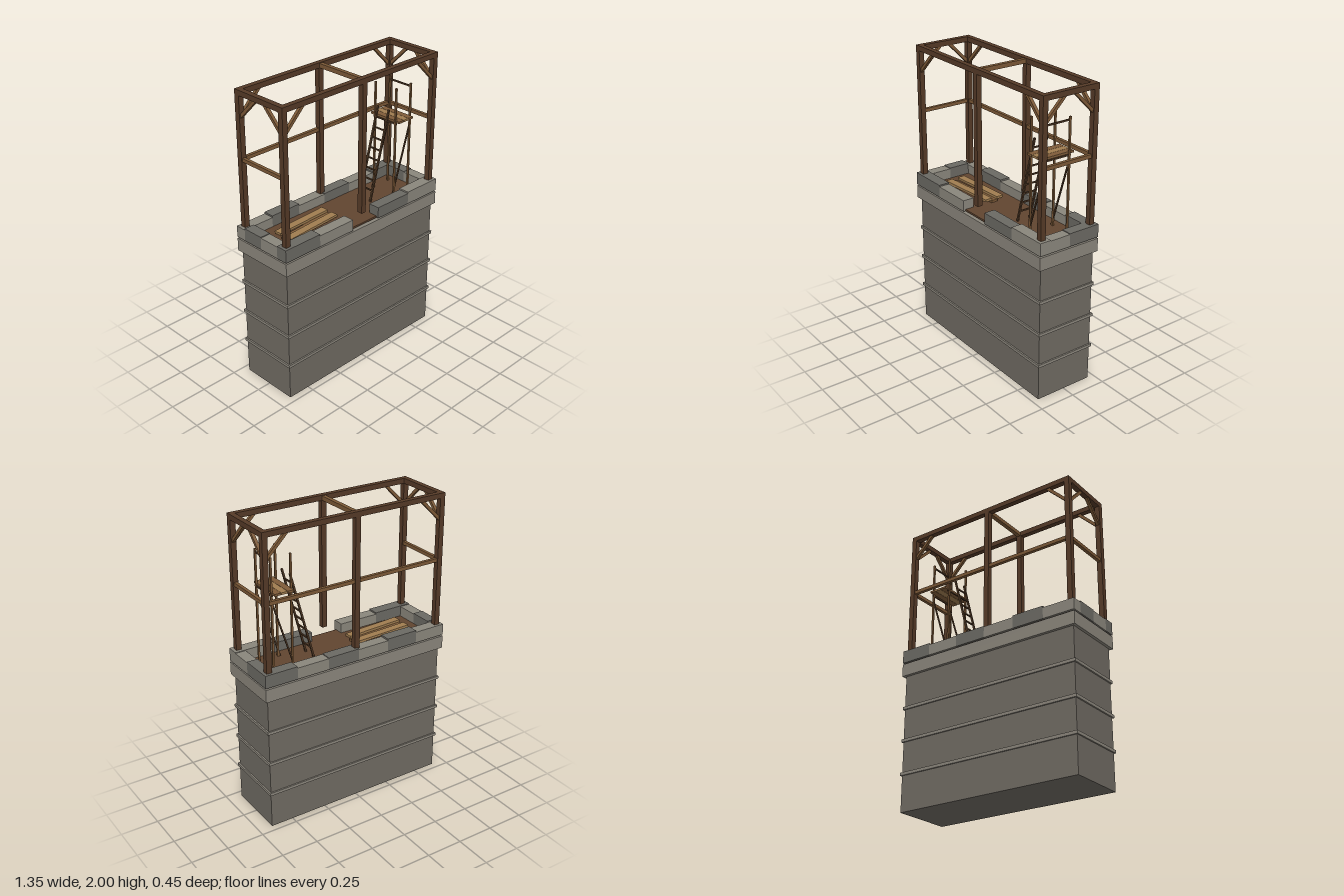
import * as THREE from 'three';

const mat = (color) => new THREE.MeshStandardMaterial({ color, flatShading: true });

export function createModel() {
  const model = new THREE.Group();
  model.name = 'unfinishedTower';
  const wall = mat(0x6f6a62), trim = mat(0x8a857b), stoneDark = mat(0x6b6963), stoneLight = mat(0x8a867c);
  const darkWood = mat(0x553a27), midWood = mat(0x7b5836), floorWood = mat(0x614530);
  const plankLight = mat(0xa07d50), plankBrown = mat(0x7f5c39), poleWood = mat(0x4f3824);

  // Box given by its min and max corners
  function block(parent, name, m, [x0, y0, z0], [x1, y1, z1]) {
    const mesh = new THREE.Mesh(new THREE.BoxGeometry(x1 - x0, y1 - y0, z1 - z0), m);
    mesh.position.set((x0 + x1) / 2, (y0 + y1) / 2, (z0 + z1) / 2);
    mesh.name = name;
    parent.add(mesh);
    return mesh;
  }
  // Square bar running from point a to point b
  function bar(parent, name, m, a, b, w, d = w) {
    const p = new THREE.Vector3(...a), q = new THREE.Vector3(...b);
    const mesh = new THREE.Mesh(new THREE.BoxGeometry(w, d, p.distanceTo(q)), m);
    mesh.position.copy(p).add(q).multiplyScalar(0.5);
    mesh.lookAt(q);
    mesh.name = name;
    parent.add(mesh);
    return mesh;
  }
  function group(name) {
    const g = new THREE.Group();
    g.name = name;
    model.add(g);
    return g;
  }

  // Masonry shaft with string courses and cornice
  const shaft = group('towerShaft');
  block(shaft, 'walls', wall, [-0.655, 0, -0.205], [0.655, 0.93, 0.205]);
  for (const y of [0.25, 0.475, 0.7])
    block(shaft, 'stringCourse', trim, [-0.665, y - 0.01, -0.215], [0.665, y + 0.01, 0.215]);
  block(shaft, 'cornice', trim, [-0.675, 0.927, -0.225], [0.675, 1.014, 0.225]);
  block(model, 'floor', floorWood, [-0.655, 1.024, -0.21], [0.655, 1.036, 0.21]);

  // Parapet stones: [x0, x1, top, material]
  const parapet = group('parapet');
  const back = [1.1, 1.112, 1.1, 1.105, 1.1, 1.11];
  back.forEach((top, i) => {
    const x = -0.675 + i * 0.225;
    block(parapet, 'backStone', i % 2 ? stoneDark : stoneLight, [x, 1.024, -0.225], [x + 0.225, top, -0.15]);
  });
  const front = [
    [-0.675, -0.396, 1.11, stoneDark], [-0.396, -0.114, 1.1, stoneLight],
    [0.114, 0.396, 1.1, stoneDark], [0.396, 0.675, 1.11, stoneLight],
  ];
  for (const [x0, x1, top, m] of front)
    block(parapet, 'frontStone', m, [x0, 1.024, 0.147], [x1, top, 0.225]);
  for (const s of [-1, 1]) {
    const x0 = s < 0 ? -0.675 : 0.602, x1 = x0 + 0.073;
    block(parapet, 'sideStone', stoneLight, [x0, 1.024, 0], [x1, 1.105, 0.147]);
    block(parapet, 'sideStone', stoneDark, [x0, 1.024, -0.15], [x1, 1.11, 0]);
  }

  // Timber frame: posts, top beams, rails and corner braces
  const frame = group('timberFrame');
  const X = 0.636, Z = 0.188, H = 0.018;
  for (const z of [-Z, Z]) {
    for (const x of [-X, 0, X])
      block(frame, 'post', darkWood, [x - H, 1.1, z - H], [x + H, 1.966, z + H]);
    block(frame, 'longTopBeam', darkWood, [-X - H, 1.966, z - H], [X + H, 2, z + H]);
  }
  for (const x of [-X, X]) {
    block(frame, 'shortTopBeam', darkWood, [x - H, 1.966, -Z + H], [x + H, 2, Z - H]);
    block(frame, 'sideRail', midWood, [x - 0.011, 1.543, -Z], [x + 0.011, 1.567, Z]);
  }
  block(frame, 'crossBeam', midWood, [-0.014, 1.968, -Z + H], [0.014, 1.996, Z - H]);
  block(frame, 'backRail', midWood, [-X, 1.543, -Z - 0.011], [X, 1.567, -Z + 0.011]);
  for (const sx of [-1, 1]) for (const sz of [-1, 1]) {
    bar(frame, 'longBrace', midWood, [sx * 0.625, 1.83, sz * Z], [sx * 0.485, 1.97, sz * Z], 0.02);
    bar(frame, 'shortBrace', midWood, [sx * X, 1.83, sz * 0.177], [sx * X, 1.97, sz * 0.037], 0.02);
  }

  // Ladder leaning towards the scaffold
  const ladder = group('ladder');
  const ladderX = (y) => 0.224 + (y - 1.036) * 0.266;
  for (const z of [-0.048, 0.048])
    bar(ladder, 'ladderRail', poleWood, [ladderX(1.036), 1.036, z], [ladderX(1.64), 1.64, z], 0.012);
  for (let i = 0; i < 8; i++) {
    const y = 1.11 + i * 0.066;
    bar(ladder, 'rung', poleWood, [ladderX(y), y, -0.048], [ladderX(y), y, 0.048], 0.009);
  }

  // Small scaffold with a plank platform
  const scaffold = group('scaffold');
  for (const z of [-0.09, 0.09]) {
    for (const x of [0.404, 0.54])
      bar(scaffold, 'pole', midWood, [x, 1.036, z], [x, 1.79, z], 0.012);
    bar(scaffold, 'diagonalBrace', poleWood, [0.39, 1.036, z], [0.54, 1.51, z], 0.009);
  }
  for (const x of [0.404, 0.54])
    bar(scaffold, 'ledger', poleWood, [x, 1.55, -0.1], [x, 1.55, 0.1], 0.01);
  bar(scaffold, 'guardRail', poleWood, [0.54, 1.77, -0.095], [0.54, 1.77, 0.095], 0.01);
  [plankBrown, plankLight, plankBrown].forEach((m, i) => {
    const x = 0.405 + i * 0.045;
    block(scaffold, 'platformPlank', m, [x, 1.556, -0.127], [x + 0.043, 1.57, 0.12]);
  });

  // Loose stack of planks: [z, y, turn, material]
  const stack = group('plankStack');
  const planks = [
    [0.012, 1.045, 0.1, plankBrown], [-0.04, 1.062, 0.05, plankLight], [0.053, 1.062, 0.07, plankLight],
  ];
  for (const [z, y, turn, m] of planks) {
    const p = block(stack, 'loosePlank', m, [-0.515, y - 0.008, z - 0.026], [-0.095, y + 0.008, z + 0.026]);
    p.rotation.y = turn;
  }
  return model;
}
